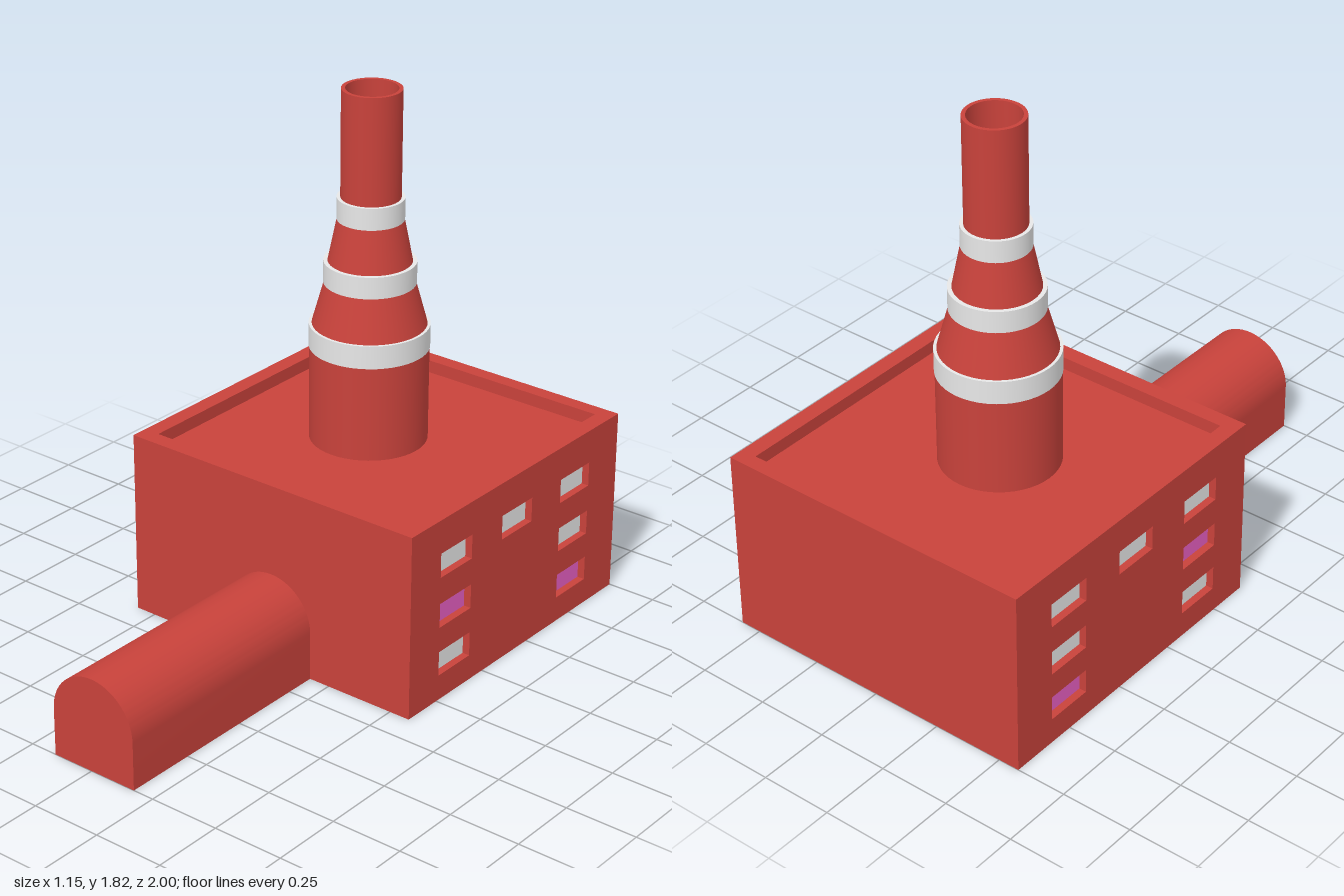
import * as THREE from 'three';
import { toCreasedNormals } from 'three/addons/utils/BufferGeometryUtils.js';

export function createModel() {
  const model = new THREE.Group();
  model.name = 'factory';

  const material = (name, color) => {
    const m = new THREE.MeshStandardMaterial({ color });
    m.name = name;
    return m;
  };
  const red = material('brickRed', 0xc8423b);
  const white = material('paleGrey', 0xebebeb);
  const pink = material('pink', 0xee62c8);

  const add = (name, geometry, mat, parent = model) => {
    const mesh = new THREE.Mesh(geometry, mat);
    mesh.name = name;
    parent.add(mesh);
    return mesh;
  };
  const rectangle = (Type, x0, y0, x1, y1) => new Type([
    new THREE.Vector2(x0, y0), new THREE.Vector2(x1, y0),
    new THREE.Vector2(x1, y1), new THREE.Vector2(x0, y1),
  ]);

  // Main building: a core up to the roof floor, clad with side walls and a rim
  const half = 0.575, back = -1, front = 0.145, height = 0.65, roof = 0.605;
  const recess = 0.03, inner = half - recess;
  add('buildingCore', new THREE.BoxGeometry(inner * 2, roof, front - back), red)
    .position.set(0, roof / 2, (front + back) / 2);

  // Parapet around the sunken roof
  const rim = rectangle(THREE.Shape, -inner, -front, inner, -back);
  rim.holes.push(rectangle(THREE.Path, -0.517, -0.087, 0.517, 0.947));
  const rimGeometry = new THREE.ExtrudeGeometry(rim, { depth: height - roof, bevelEnabled: false });
  rimGeometry.rotateX(-Math.PI / 2);
  add('parapet', rimGeometry, red).position.y = roof;

  // Windows as [centre z, centre y, material]
  const windowWidth = 0.166, windowHeight = 0.086;
  const windows = [
    [-0.093, 0.488, white], [-0.423, 0.488, white], [-0.753, 0.488, white],
    [-0.093, 0.308, pink], [-0.753, 0.308, white],
    [-0.093, 0.133, white], [-0.753, 0.133, pink],
  ];

  // Side walls with window openings, and panes set back inside them
  for (const side of [1, -1]) {
    const label = side > 0 ? 'left' : 'right';
    const wall = rectangle(THREE.Shape, -side * front, 0, -side * back, height);
    for (const [z, y, mat] of windows) {
      const u = -side * z, w = windowWidth / 2, h = windowHeight / 2;
      wall.holes.push(rectangle(THREE.Path, u - w, y - h, u + w, y + h));
      add(label + 'WindowPane', new THREE.BoxGeometry(0.004, windowHeight, windowWidth), mat)
        .position.set(side * (inner + 0.002), y, z);
    }
    const geometry = new THREE.ExtrudeGeometry(wall, { depth: recess, bevelEnabled: false });
    geometry.rotateY(side * Math.PI / 2);
    add(label + 'Wall', geometry, red).position.x = side * inner;
  }

  // Arched entrance tunnel
  const r = 0.163, spring = 0.167;
  const arch = new THREE.Shape();
  arch.moveTo(-r, 0);
  arch.lineTo(r, 0);
  arch.lineTo(r, spring);
  arch.absarc(0, spring, r, 0, Math.PI, false);
  arch.lineTo(-r, 0);
  const tunnel = new THREE.ExtrudeGeometry(arch, { depth: 1 - front, bevelEnabled: false, curveSegments: 32 });
  add('entranceTunnel', toCreasedNormals(tunnel, 0.5), red).position.set(0.011, 0, front);

  // Chimney: each profile edge is its own smooth ring, so the steps stay sharp
  const chimney = new THREE.Group();
  chimney.name = 'chimney';
  chimney.position.set(-0.034, 0, -0.421);
  model.add(chimney);
  const ring = (name, mat, ...profile) => {
    for (let i = 0; i < profile.length - 1; i++) {
      const points = [profile[i], profile[i + 1]].map(([x, y]) => new THREE.Vector2(x, y));
      add(name, new THREE.LatheGeometry(points, 48), mat, chimney);
    }
  };
  ring('chimneyBase', red, [0.198, roof], [0.198, 0.935]);
  ring('lowerCone', red, [0.19, 1.015], [0.15, 1.16]);
  ring('upperCone', red, [0.139, 1.235], [0.11, 1.38]);
  ring('chimneyPipe', red, [0.099, 1.455], [0.099, 1.822], [0.086, 1.822], [0.086, 1.46], [0, 1.46]);

  // Pale bands with their ledges
  const bands = [[0.2, 0.935, 1.015, 0.18], [0.153, 1.16, 1.235, 0.13], [0.111, 1.38, 1.455, 0.095]];
  for (const [radius, y0, y1, inside] of bands) {
    ring('chimneyBand', white, [inside, y0], [radius, y0], [radius, y1], [inside, y1]);
  }

  return model;
}
